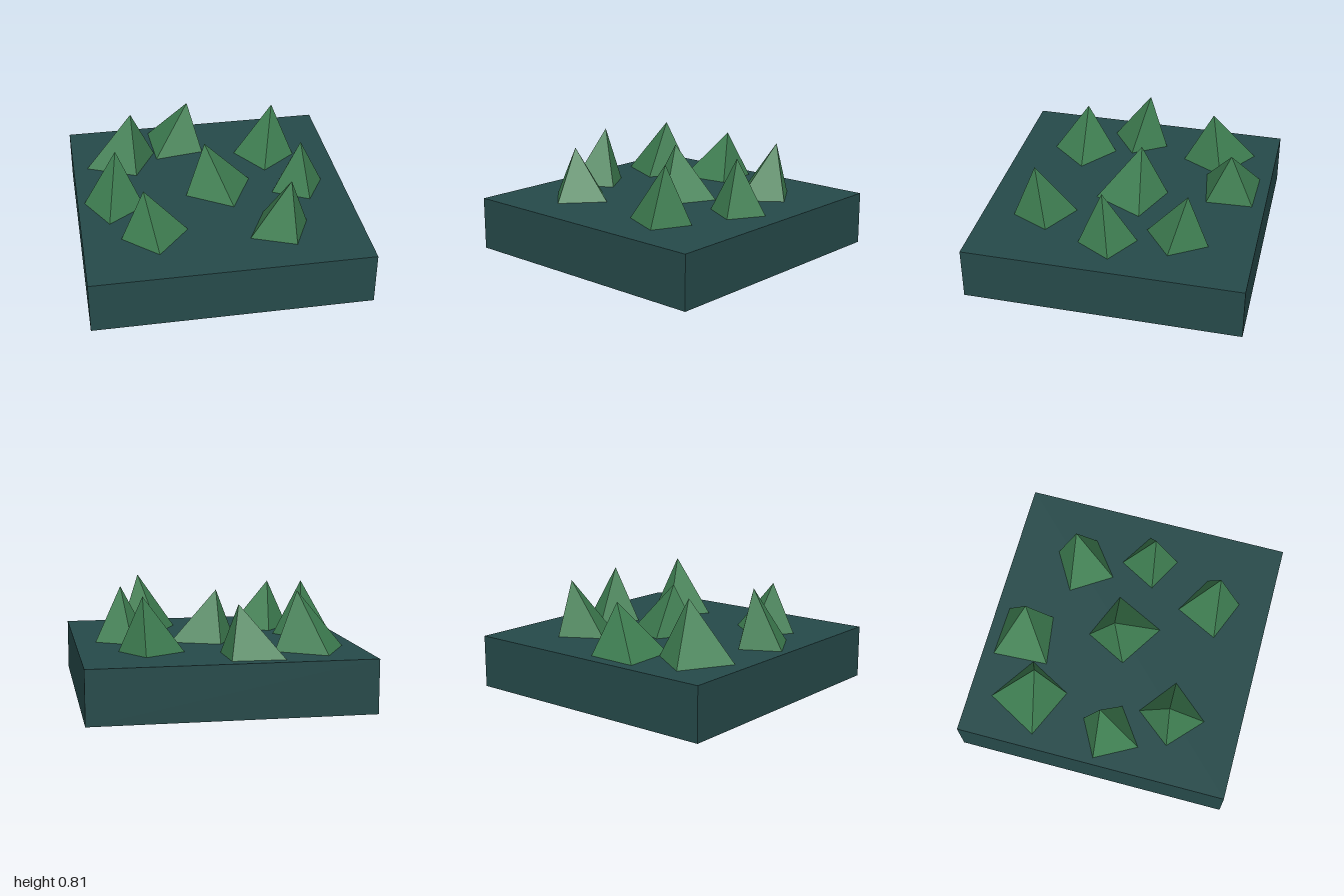
import * as THREE from 'three';

const TOP = 0.385;      // height of the ground surface
const SINK = 0.08;      // how far each peak reaches below the ground

// Each peak: apex [x, y, z], then its four corners [x, z] at ground level,
// clockwise as seen from above.
const PEAKS = [
  { apex: [-0.54, 0.80, -0.515], corners: [[-0.69, -0.83], [-0.36, -0.61], [-0.53, -0.30], [-0.895, -0.46]] },
  { apex: [-0.075, 0.745, -0.725], corners: [[-0.37, -0.915], [0.005, -0.905], [0.02, -0.565], [-0.35, -0.51]] },
  { apex: [0.56, 0.785, -0.52], corners: [[0.555, -0.675], [0.72, -0.415], [0.455, -0.215], [0.265, -0.505]] },
  { apex: [-0.04, 0.76, -0.065], corners: [[-0.04, -0.265], [0.31, -0.12], [0.13, 0.24], [-0.195, 0.035]] },
  { apex: [0.655, 0.785, 0.065], corners: [[0.595, -0.175], [0.85, -0.02], [0.705, 0.23], [0.445, 0.095]] },
  { apex: [-0.705, 0.805, 0.01], corners: [[-0.68, -0.13], [-0.52, 0.12], [-0.79, 0.31], [-0.95, 0.015]] },
  { apex: [-0.555, 0.75, 0.475], corners: [[-0.52, 0.25], [-0.245, 0.46], [-0.48, 0.73], [-0.725, 0.505]] },
  { apex: [0.465, 0.805, 0.60], corners: [[0.33, 0.335], [0.615, 0.495], [0.485, 0.77], [0.175, 0.645]] },
];

// Four-sided pyramid, its edges carried on below the ground to a flat base
function peakGeometry({ apex, corners }) {
  const k = (apex[1] - TOP + SINK) / (apex[1] - TOP);
  const base = corners.map(([x, z]) => [
    apex[0] + (x - apex[0]) * k, TOP - SINK, apex[2] + (z - apex[2]) * k,
  ]);
  const points = [];
  base.forEach((a, i) => points.push(...apex, ...base[(i + 1) % 4], ...a));
  points.push(...base[0], ...base[1], ...base[2], ...base[0], ...base[2], ...base[3]);
  const geometry = new THREE.BufferGeometry();
  geometry.setAttribute('position', new THREE.Float32BufferAttribute(points, 3));
  geometry.computeVertexNormals();
  return geometry;
}

export function createModel() {
  const model = new THREE.Group();
  model.name = 'peaksOnGround';

  const ground = new THREE.MeshStandardMaterial({ color: 0x264a4a, side: THREE.DoubleSide });
  ground.name = 'darkTeal';
  const foliage = new THREE.MeshStandardMaterial({ color: 0x3f7f52, flatShading: true });
  foliage.name = 'green';

  // Ground block: thin walls and a top, open underneath
  const block = new THREE.BoxGeometry(2, TOP, 2);
  const index = Array.from(block.index.array);
  index.splice(18, 6); // drop the bottom face
  block.setIndex(index);
  block.clearGroups();
  block.translate(0, TOP / 2, 0);
  const groundMesh = new THREE.Mesh(block, ground);
  groundMesh.name = 'groundBlock';
  model.add(groundMesh);

  // Peaks
  PEAKS.forEach((peak, i) => {
    const mesh = new THREE.Mesh(peakGeometry(peak), foliage);
    mesh.name = `peak${i + 1}`;
    model.add(mesh);
  });

  return model;
}
